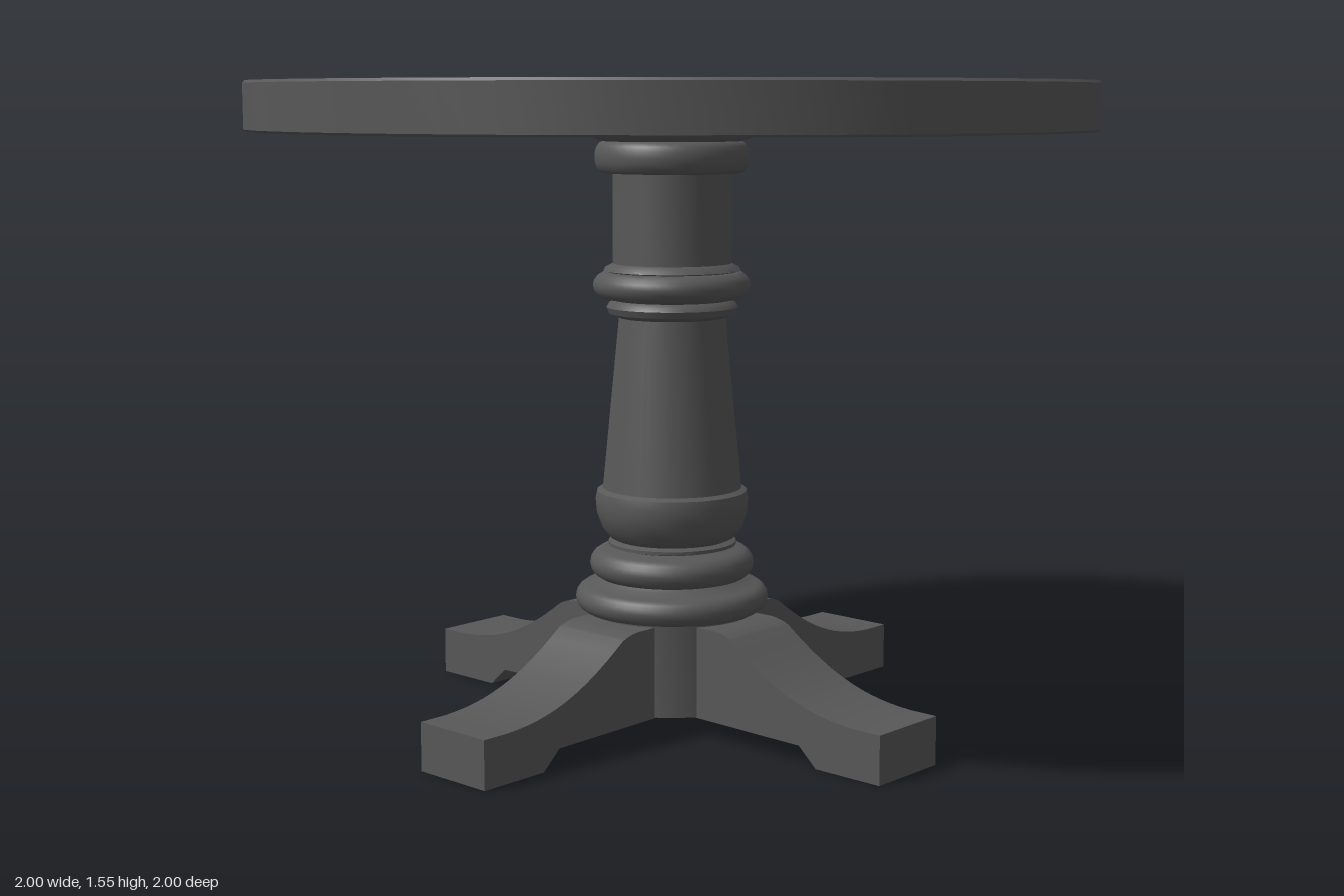
import * as THREE from 'three';
import { toCreasedNormals } from 'three/addons/utils/BufferGeometryUtils.js';

const paint = new THREE.MeshStandardMaterial({ color: 0x585858 });
paint.name = 'dark grey paint';

const CREASE = Math.PI / 5;

// Turned part from [radius, height] pairs, listed from bottom to top
function turned(name, profile, segments = 48) {
  const points = profile.map(([r, y]) => new THREE.Vector2(r, y));
  const mesh = new THREE.Mesh(toCreasedNormals(new THREE.LatheGeometry(points, segments), CREASE), paint);
  mesh.name = name;
  return mesh;
}

// Rounded bead profile bulging out to radius r between y0 and y1
function bead(r, bulge, y0, y1) {
  const pts = [];
  for (let i = 0; i <= 8; i++) {
    const a = -Math.PI / 2 + (Math.PI * i) / 8;
    pts.push([r - bulge + bulge * Math.cos(a), (y0 + y1) / 2 + ((y1 - y0) / 2) * Math.sin(a)]);
  }
  return pts;
}

// One splayed leg, running out along +x
function legGeometry() {
  const width = 0.21;
  const side = new THREE.Shape();
  side.moveTo(0, 0.05);
  side.lineTo(0.49, 0.045);
  side.lineTo(0.54, 0);
  side.lineTo(0.72, 0);
  side.lineTo(0.72, 0.115);
  side.lineTo(0.65, 0.115);
  side.bezierCurveTo(0.5, 0.12, 0.4, 0.17, 0.29, 0.25);
  side.quadraticCurveTo(0.27, 0.265, 0.23, 0.268);
  side.lineTo(0, 0.268);
  const geometry = new THREE.ExtrudeGeometry(side, { depth: width, bevelEnabled: false, curveSegments: 14 });
  geometry.translate(0, 0, -width / 2);
  return toCreasedNormals(geometry, CREASE);
}

export function createModel() {
  const table = new THREE.Group();
  table.name = 'pedestalTable';

  // Round top
  table.add(turned('tableTop', [
    [0, 1.43], [0.995, 1.43], [1, 1.435], [1, 1.54], [0.995, 1.546], [0, 1.546],
  ], 96));

  // Turned column, from the base mouldings up to the collar
  table.add(turned('column', [
    [0, 0.27],
    ...bead(0.235, 0.03, 0.272, 0.335),
    [0.175, 0.345],
    ...bead(0.2, 0.035, 0.352, 0.422),
    [0.14, 0.428], [0.155, 0.432], [0.155, 0.44], [0.14, 0.446],
    [0.152, 0.452], [0.17, 0.475], [0.183, 0.51], [0.186, 0.545], [0.182, 0.565], [0.168, 0.572],
    [0.128, 0.985],
    [0.152, 0.995], [0.158, 1.01], [0.152, 1.02], [0.14, 1.027],
    ...bead(0.19, 0.035, 1.03, 1.095),
    [0.165, 1.098], [0.16, 1.106], [0.142, 1.115],
    [0.142, 1.33],
    ...bead(0.185, 0.02, 1.33, 1.405),
    [0.185, 1.41], [0.2, 1.42], [0.205, 1.432],
  ]));

  // Hub that joins the legs
  table.add(turned('hub', [[0, 0.05], [0.205, 0.05], [0.205, 0.275], [0, 0.275]], 32));

  // Four legs in a cross
  const geometry = legGeometry();
  ['leftLeg', 'backLeg', 'rightLeg', 'frontLeg'].forEach((name, i) => {
    const leg = new THREE.Mesh(geometry, paint);
    leg.name = name;
    leg.rotation.y = (i * Math.PI) / 2;
    table.add(leg);
  });

  return table;
}
